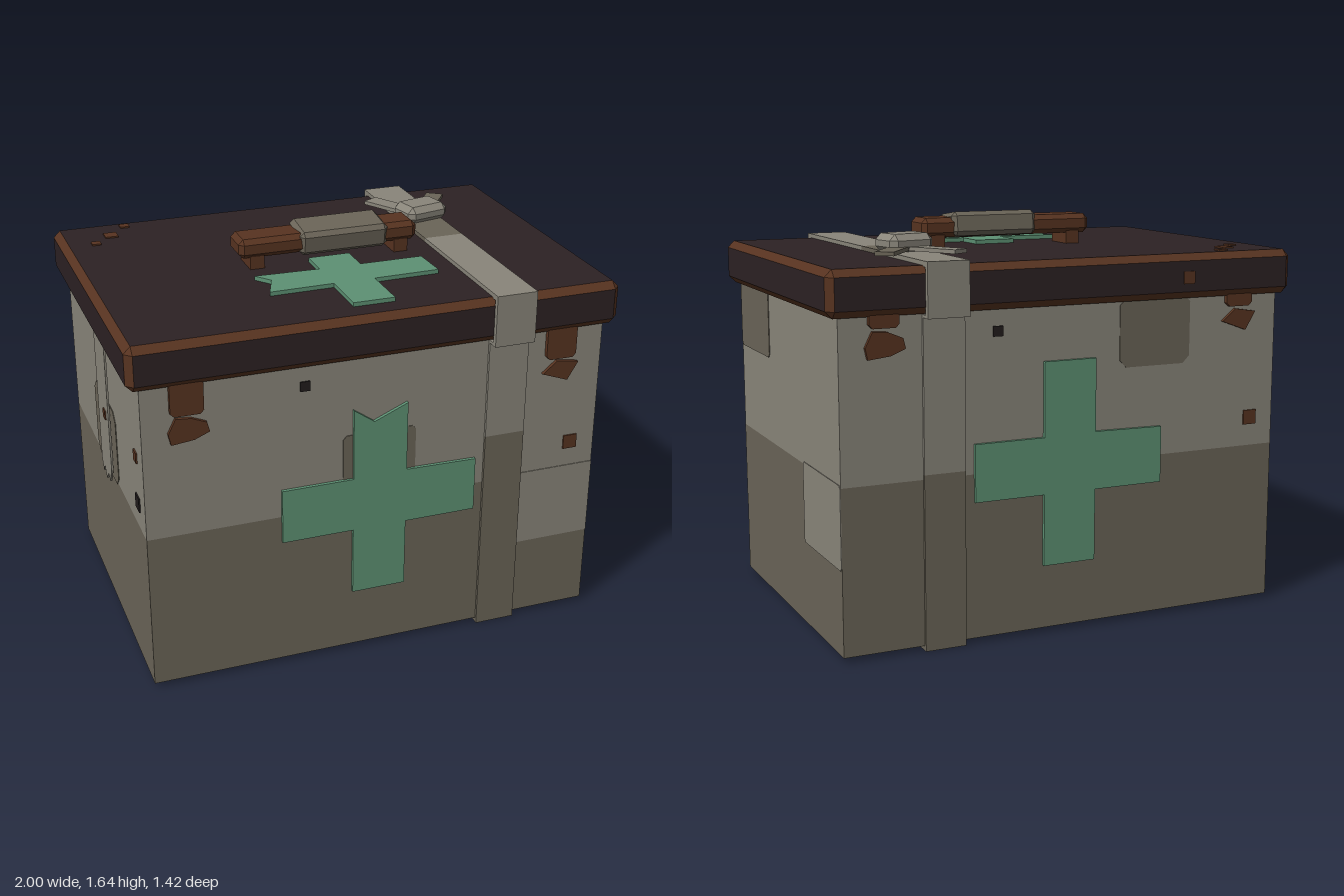
import * as THREE from 'three';
import { ConvexGeometry } from 'three/addons/geometries/ConvexGeometry.js';

const mat = (name, color) => {
  const m = new THREE.MeshStandardMaterial({ color });
  m.name = name;
  return m;
};

export function createModel() {
  const light = mat('lightCanvas', 0x89857a);
  const dark = mat('stainedCanvas', 0x6a6457);
  const lidDark = mat('darkLid', 0x2c2123);
  const brown = mat('brownLeather', 0x573320);
  const green = mat('greenCross', 0x5d9173);
  const black = mat('blackScuff', 0x211c1c);

  const root = new THREE.Group();
  root.name = 'medicalBox';

  const add = (name, geo, material, parent = root) => {
    const m = new THREE.Mesh(geo, material);
    m.name = name;
    parent.add(m);
    return m;
  };
  // Box given by its two extreme corners
  const box = (name, [x0, y0, z0], [x1, y1, z1], material) => {
    const m = add(name, new THREE.BoxGeometry(x1 - x0, y1 - y0, z1 - z0), material);
    m.position.set((x0 + x1) / 2, (y0 + y1) / 2, (z0 + z1) / 2);
    return m;
  };
  // Box with all edges cut; the cut faces may take a second material
  const chamferBox = (name, w, h, d, c, face, edge = face) => {
    const pts = [];
    for (const sx of [-1, 1]) for (const sy of [-1, 1]) for (const sz of [-1, 1]) {
      const [x, y, z] = [w / 2, h / 2, d / 2];
      pts.push(new THREE.Vector3(sx * x, sy * (y - c), sz * (z - c)));
      pts.push(new THREE.Vector3(sx * (x - c), sy * y, sz * (z - c)));
      pts.push(new THREE.Vector3(sx * (x - c), sy * (y - c), sz * z));
    }
    const geo = new ConvexGeometry(pts);
    const n = geo.attributes.normal;
    for (let i = 0; i < n.count; i += 3) {
      const flat = Math.max(Math.abs(n.getX(i)), Math.abs(n.getY(i)), Math.abs(n.getZ(i))) > 0.95;
      geo.addGroup(i, 3, flat ? 0 : 1);
    }
    return add(name, geo, [face, edge]);
  };
  // Rectangle outline with small cut corners
  const rect = (x0, y0, x1, y1, c = 0.015) => [
    [x0 + c, y0], [x1 - c, y0], [x1, y0 + c], [x1, y1 - c],
    [x1 - c, y1], [x0 + c, y1], [x0, y1 - c], [x0, y0 + c]];
  const square = (x, y, s) => rect(x - s / 2, y - s / 2, x + s / 2, y + s / 2, 0.001);
  const plate = (pts, depth) => new THREE.ExtrudeGeometry(
    new THREE.Shape(pts.map(p => new THREE.Vector2(p[0], p[1]))), { depth, bevelEnabled: false });

  // One group per wall, with local z pointing outwards
  const wall = {};
  [['front', 0, 0.65], ['right', Math.PI / 2, 0.95], ['back', Math.PI, 0.65], ['left', -Math.PI / 2, 0.95]]
    .forEach(([name, angle, dist]) => {
      const g = wall[name] = new THREE.Group();
      g.name = name + 'WallDetails';
      g.rotation.y = angle;
      g.userData.dist = dist;
      root.add(g);
    });
  const onWall = (name, side, pts, depth, material, lift = 0) => {
    const m = add(name, plate(pts, depth), material, wall[side]);
    m.position.z = wall[side].userData.dist + lift;
    return m;
  };

  // Body: stained lower half, clean upper half
  box('lowerBody', [-0.95, 0.02, -0.65], [0.95, 0.68, 0.65], [dark, dark, dark, lidDark, dark, dark]);
  box('upperBody', [-0.95, 0.68, -0.65], [0.95, 1.33, 0.65], light);

  // Painted stains and clean areas
  onWall('cleanArea', 'front', rect(0.5, 0.36, 0.95, 0.69, 0.001), 0.003, light);
  onWall('cleanArea', 'right', rect(0.2, 0.36, 0.65, 0.69, 0.012), 0.003, light);
  onWall('stain', 'front', rect(-0.155, 0.68, 0.15, 0.99), 0.003, dark);
  onWall('stain', 'right', rect(-0.645, 1.04, -0.23, 1.33), 0.003, dark);
  onWall('stain', 'back', rect(0.22, 1.05, 0.54, 1.33, 0.03), 0.003, dark);
  onWall('stain', 'left', rect(-0.2, 0.67, 0.19, 1.0, 0.04), 0.003, dark);

  // Wall crosses; the front one is torn at the top
  const cross = top => [[-0.115, 0.28], [0.11, 0.28], [0.11, 0.57], [0.41, 0.57], [0.41, 0.8], [0.11, 0.805],
    ...top, [-0.115, 0.8], [-0.41, 0.8], [-0.41, 0.57], [-0.115, 0.57]];
  onWall('frontCross', 'front', cross([[0.11, 1.1], [-0.03, 1.04], [-0.115, 1.1]]), 0.014, green);
  onWall('backCross', 'back', cross([[0.11, 1.1], [-0.115, 1.1]]), 0.014, green);

  // Small scuffs
  for (const side of ['front', 'back']) {
    onWall('blackScuff', side, square(-0.31, 1.23, 0.04), 0.006, black);
    onWall('brownScuff', side, square(0.84, 0.8, 0.06), 0.006, brown);
  }
  onWall('blackScuff', 'left', square(0.54, 0.79, 0.06), 0.006, black);
  onWall('brownScuff', 'left', square(0.54, 0.99, 0.045), 0.006, brown);
  onWall('lidScuff', 'back', square(0.51, 1.4, 0.05), 0.005, brown, 0.04);

  // Torn leather tabs under the lid
  const tornLeft = [[-0.82, 1.18], [-0.85, 1.12], [-0.84, 1.075], [-0.75, 1.085], [-0.69, 1.11], [-0.7, 1.15], [-0.76, 1.175]];
  const tornRight = [[0.69, 1.13], [0.8, 1.09], [0.845, 1.165], [0.75, 1.18]];
  for (const x of [-0.775, 0.765]) {
    onWall('latchTab', 'front', rect(x - 0.065, 1.19, x + 0.065, 1.33), 0.018, brown);
    onWall('hingeTab', 'back', rect(x - 0.06, 1.27, x + 0.06, 1.33), 0.018, brown);
  }
  onWall('tornTab', 'front', tornLeft, 0.015, brown);
  onWall('tornTab', 'front', tornRight, 0.015, brown);
  onWall('tornTab', 'back', tornLeft, 0.015, brown).position.y = 0.08;
  onWall('tornTab', 'back', tornRight, 0.015, brown).position.y = 0.08;

  // Hanging rag on the left wall
  onWall('hangingRag', 'left', [[-0.07, 1.33], [-0.07, 0.68], [-0.04, 0.64], [-0.02, 0.68], [0.01, 0.63],
    [0.05, 0.67], [0.08, 0.65], [0.12, 0.72], [0.12, 1.33]], 0.008, light, 0.008);
  onWall('ragScuff', 'left', square(0.06, 0.95, 0.04), 0.005, brown, 0.016);

  // Lid with worn edges
  chamferBox('lid', 2, 0.18, 1.38, 0.028, lidDark, brown).position.y = 1.405;

  // Strap wrapped around the box
  const [s0, s1] = [0.45, 0.62];
  for (const [s, split] of [[1, 0.89], [-1, 0.7]]) {
    const run = (name, y0, y1, za, zb, m) =>
      box(name, [s0, y0, Math.min(s * za, s * zb)], [s1, y1, Math.max(s * za, s * zb)], m);
    run('strapLower', 0, split, 0.64, 0.662, dark);
    run('strapUpper', split, 1.31, 0.64, 0.662, light);
    run('strapUnderLid', 1.3, 1.312, 0.65, 0.71, light);
    run('strapOverLidEdge', 1.3, 1.512, 0.688, 0.71, light);
  }
  box('strapBottom', [s0, 0, -0.645], [s1, 0.025, 0.645], dark);
  box('strapTopFront', [s0, 1.49, 0], [s1, 1.512, 0.69], light);
  box('strapTopMiddle', [s0, 1.49, -0.27], [s1, 1.512, 0], dark);
  box('strapTopBack', [s0, 1.49, -0.69], [s1, 1.512, -0.27], light);

  // Knot and its two loose ends
  const knot = chamferBox('knot', 0.2, 0.075, 0.15, 0.025, light);
  knot.position.set(0.537, 1.545, -0.26);
  knot.rotation.y = 0.22;
  for (const [x, z, m] of [[0.4, -0.51, light], [0.705, -0.49, dark]]) {
    const dx = x - 0.54, dz = z + 0.26;
    const tail = add('strapTail', new THREE.BoxGeometry(0.075, 0.016, Math.hypot(dx, dz)), m);
    tail.position.set(0.54 + dx / 2, 1.525, -0.26 + dz / 2);
    tail.rotation.y = Math.atan2(dx, dz);
  }

  // Carrying handle with bandaged grip
  chamferBox('handleBar', 0.765, 0.08, 0.15, 0.02, brown).position.set(-0.002, 1.58, 0);
  for (const x of [-0.31, 0.31]) box('handleFoot', [x - 0.03, 1.49, -0.065], [x + 0.03, 1.55, 0.07], brown);
  const grip = chamferBox('gripWrap', 0.38, 0.1, 0.17, 0.018, dark);
  grip.position.set(0.06, 1.585, 0);
  grip.rotation.x = 0.13;

  // Cross on the lid, torn at one end
  const top = add('lidCross', plate([[-0.09, -0.58], [0.08, -0.58], [0.08, -0.365], [0.355, -0.36], [0.35, -0.195],
    [0.085, -0.195], [0.085, -0.06], [-0.09, -0.06], [-0.09, -0.195], [-0.36, -0.185], [-0.31, -0.25],
    [-0.355, -0.37], [-0.09, -0.365]], 0.018), green);
  top.rotation.x = -Math.PI / 2;
  top.position.y = 1.494;

  // Scuffs on the lid
  for (const [x, z, s] of [[-0.78, -0.52, 0.055], [-0.7, -0.62, 0.04], [-0.86, -0.44, 0.038]])
    box('lidTopScuff', [x - s / 2, 1.493, z - s / 2], [x + s / 2, 1.501, z + s / 2], brown);

  return root;
}
